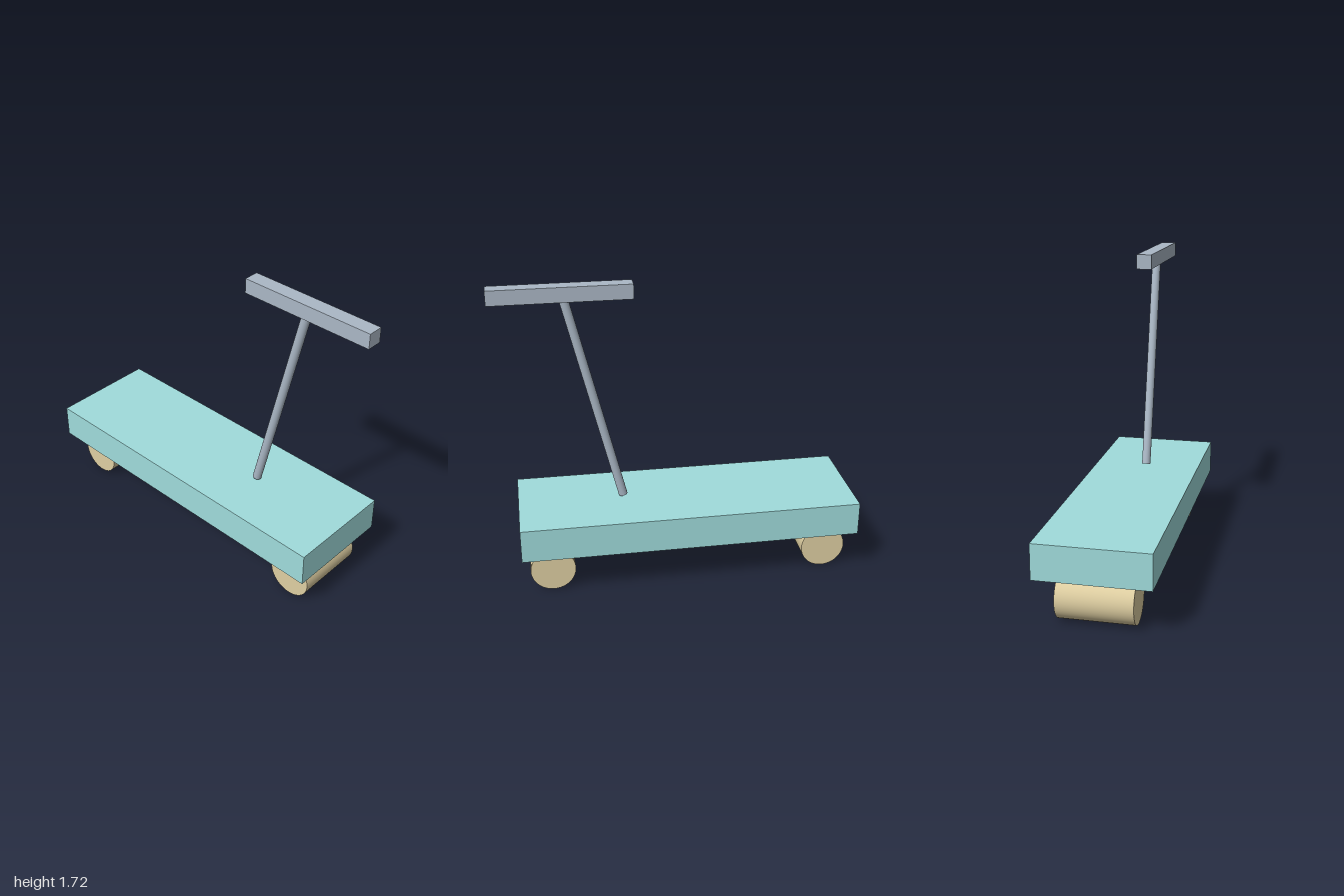
import * as THREE from 'three';

const material = (color) => new THREE.MeshStandardMaterial({ color });

export function createModel() {
  const model = new THREE.Group();
  const teal = material(0xa0dcdc);
  const tan = material(0xdfcfa2);
  const steel = material(0xabb8c6);

  const add = (name, geometry, mat, x, y, z = 0) => {
    const mesh = new THREE.Mesh(geometry, mat);
    mesh.name = name;
    mesh.position.set(x, y, z);
    model.add(mesh);
    return mesh;
  };

  // Flat deck
  add('deck', new THREE.BoxGeometry(1.91, 0.193, 0.614), teal, -0.045, 0.354);

  // Two wide roller wheels lying across the deck
  const wheelRadius = 0.127;
  const wheelGeometry = new THREE.CylinderGeometry(wheelRadius, wheelRadius, 0.406, 48).rotateX(Math.PI / 2);
  add('rearWheel', wheelGeometry, tan, -0.83, wheelRadius);
  add('frontWheel', wheelGeometry, tan, 0.74, wheelRadius);

  // Leaning steering pole, its top set into the handlebar
  const foot = new THREE.Vector3(0.314, 0.469, 0);
  const head = new THREE.Vector3(0.603, 1.655, 0);
  const lean = head.clone().sub(foot);
  const pole = add('pole', new THREE.CylinderGeometry(0.025, 0.025, lean.length(), 24), steel,
    (foot.x + head.x) / 2, (foot.y + head.y) / 2);
  pole.rotation.z = -Math.atan2(lean.x, lean.y);

  // Handlebar running along the deck
  add('handlebar', new THREE.BoxGeometry(0.765, 0.082, 0.084), steel, 0.6175, 1.682);

  return model;
}
